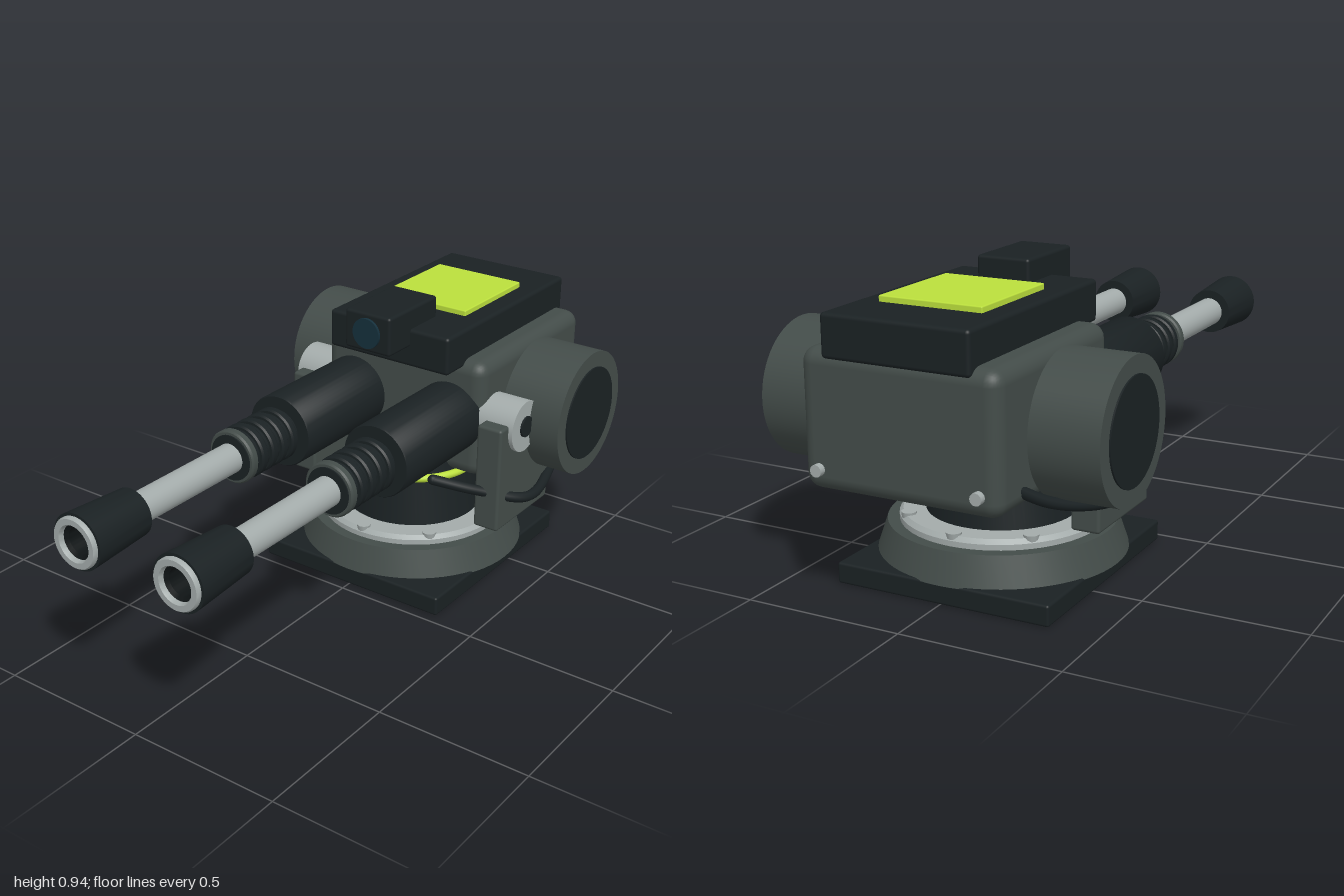
import * as THREE from 'three';
import { RoundedBoxGeometry } from 'three/addons/geometries/RoundedBoxGeometry.js';
import { toCreasedNormals } from 'three/addons/utils/BufferGeometryUtils.js';

const paint = (color) => new THREE.MeshStandardMaterial({ color });
const grey = paint(0x434c49), dark = paint(0x1a2123), silver = paint(0xa3abaa);
const lime = paint(0xbbdf3c), glass = paint(0x15303c), black = paint(0x0f1415);

const BASE_Z = -0.41, GUN_Y = 0.56;

export function createModel() {
  const model = new THREE.Group();
  model.name = 'twinBarrelTurret';

  function add(parent, name, geometry, material, x = 0, y = 0, z = 0) {
    const mesh = new THREE.Mesh(geometry, material);
    mesh.name = name;
    mesh.position.set(x, y, z);
    parent.add(mesh);
    return mesh;
  }
  // Box given by its limits on each axis, with rounded edges
  function box(parent, name, material, [x0, x1], [y0, y1], [z0, z1], r) {
    return add(parent, name, new RoundedBoxGeometry(x1 - x0, y1 - y0, z1 - z0, 3, r), material,
      (x0 + x1) / 2, (y0 + y1) / 2, (z0 + z1) / 2);
  }
  // Turned profile of [radius, height] pairs with crisp edges
  function turned(points, segments = 48) {
    const profile = points.map(([r, h]) => new THREE.Vector2(r, h));
    return toCreasedNormals(new THREE.LatheGeometry(profile, segments), 0.6);
  }
  const alongZ = (geometry) => geometry.rotateX(Math.PI / 2);
  const alongX = (geometry) => geometry.rotateZ(-Math.PI / 2);

  // Base: square foot, sloped skirt, bolted ring and pedestal
  const base = new THREE.Group();
  base.name = 'base';
  base.position.z = BASE_Z;
  model.add(base);
  box(base, 'footPlate', dark, [-0.348, 0.348], [0, 0.065], [-0.375, 0.375], 0.008);
  add(base, 'skirt', turned([[0, 0.06], [0.38, 0.06], [0.348, 0.155], [0, 0.155]], 64), grey);
  add(base, 'boltRing', turned([[0.2, 0.15], [0.312, 0.15], [0.312, 0.172], [0.3, 0.185], [0.2, 0.185]], 64), silver);
  for (let i = 0; i < 8; i++) {
    const a = i * Math.PI / 4;
    add(base, 'ringBolt', new THREE.CylinderGeometry(0.024, 0.018, 0.035, 12), silver,
      0.29 * Math.sin(a), 0.175, 0.29 * Math.cos(a));
  }
  add(base, 'pedestal', turned([[0, 0.18], [0.233, 0.18], [0.2, 0.41], [0, 0.41]]), dark);
  add(base, 'glowRing', new THREE.TorusGeometry(0.217, 0.013, 12, 64).rotateX(Math.PI / 2), lime, 0, 0.352, 0);

  // Main housing with its roof box and camera
  box(model, 'housing', grey, [-0.31, 0.31], [0.36, 0.763], [-0.98, -0.33], 0.045);
  box(model, 'roofBox', dark, [-0.23, 0.23], [0.738, 0.865], [-0.983, -0.245], 0.012);
  box(model, 'roofPanel', lime, [-0.163, 0.163], [0.86, 0.883], [-0.8, -0.45], 0.004);
  box(model, 'cameraBody', dark, [-0.086, 0.086], [0.806, 0.935], [-0.4, -0.13], 0.01);
  add(model, 'cameraLens', alongZ(new THREE.CylinderGeometry(0.05, 0.05, 0.02, 32)), glass, 0, 0.87, -0.131);

  // Everything that repeats on the left and right
  for (const side of [1, -1]) {
    const group = new THREE.Group();
    group.name = side > 0 ? 'leftSide' : 'rightSide';
    model.add(group);
    const x = (v) => side * v;
    const span = (a, b) => (side > 0 ? [a, b] : [-b, -a]);

    // Barrel: sleeve, ribbed collar, tube, flared muzzle with a bored tip
    const barrel = new THREE.Group();
    barrel.name = 'barrel';
    barrel.position.set(x(0.187), GUN_Y, 0);
    group.add(barrel);
    add(barrel, 'sleeve', alongZ(turned([[0, -0.36], [0.12, -0.36], [0.12, 0.082], [0.117, 0.087], [0, 0.087]])), dark);
    add(barrel, 'collar', alongZ(turned([[0.075, 0.08], [0.075, 0.33], [0, 0.33]])), dark);
    for (let i = 0; i < 5; i++) {
      const h = 0.1 + i * 0.049;
      add(barrel, 'collarRib', alongZ(turned([[0.07, h], [0.083, h], [0.088, h + 0.006], [0.088, h + 0.024],
        [0.083, h + 0.03], [0.07, h + 0.03]])), i === 4 ? grey : dark);
    }
    add(barrel, 'tube', alongZ(new THREE.CylinderGeometry(0.048, 0.048, 0.48, 32)), silver, 0, 0, 0.55);
    add(barrel, 'muzzle', alongZ(turned([[0, 0.765], [0.076, 0.765], [0.089, 0.985], [0.06, 0.985]])), dark);
    add(barrel, 'muzzleTip', alongZ(turned([[0.08, 0.98], [0.08, 0.994], [0.076, 1], [0.058, 1], [0.054, 0.994],
      [0.054, 0.96]])), silver);
    add(barrel, 'bore', alongZ(turned([[0.056, 0.985], [0.042, 0.975], [0.042, 0.9], [0, 0.9]])), black);

    // Side drum with dark outer cap
    add(group, 'drumCollar', alongX(new THREE.CylinderGeometry(0.165, 0.165, 0.06, 48)), dark, x(0.31), 0.55, -0.645);
    add(group, 'drum', alongX(new THREE.CylinderGeometry(0.21, 0.21, 0.21, 64)), grey, x(0.429), 0.55, -0.645);
    add(group, 'drumCap', alongX(new THREE.CylinderGeometry(0.157, 0.157, 0.03, 48)), dark, x(0.524), 0.55, -0.645);

    // Pivot and the support plate hanging from it
    add(group, 'pivot', alongX(new THREE.CylinderGeometry(0.086, 0.086, 0.14, 40)), silver, x(0.36), GUN_Y, -0.41);
    add(group, 'pivotPin', alongX(new THREE.CylinderGeometry(0.035, 0.035, 0.04, 24)), dark, x(0.417), GUN_Y, -0.41);
    box(group, 'supportPlate', grey, span(0.326, 0.416), [0.222, 0.585], [-0.61, -0.28], 0.01);

    // Cable sweeping from the front, past the plate and under the drum
    const path = new THREE.CatmullRomCurve3([
      [0.235, 0.407, -0.17], [0.34, 0.36, -0.27], [0.447, 0.31, -0.41],
      [0.42, 0.315, -0.6], [0.35, 0.36, -0.77], [0.28, 0.43, -0.88],
    ].map(([px, py, pz]) => new THREE.Vector3(x(px), py, pz)));
    add(group, 'cable', new THREE.TubeGeometry(path, 48, 0.017, 12), dark);
    for (const t of [0, 1]) {
      const p = path.getPoint(t);
      add(group, 'cableEnd', new THREE.SphereGeometry(0.017, 12, 8), dark, p.x, p.y, p.z);
    }

    // Bolt low on the rear face
    add(group, 'rearBolt', alongZ(new THREE.CylinderGeometry(0.018, 0.018, 0.03, 12)), silver, x(0.25), 0.425, -0.985);
  }
  return model;
}
